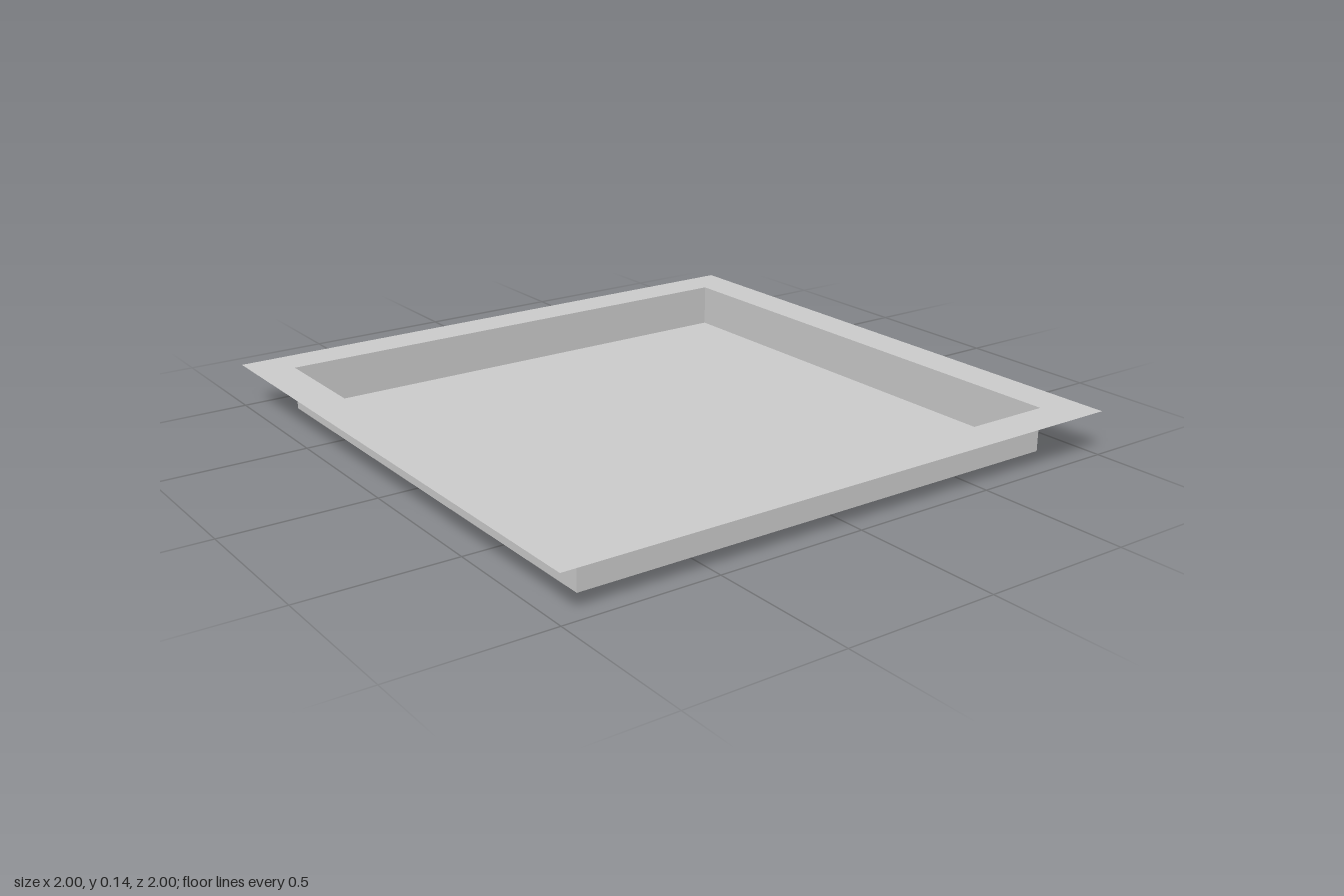
import * as THREE from 'three';

const OUTER = 1;      // half width of the rim
const INNER = 0.867;  // half width of the pan
const DEPTH = 0.145;

function square(PathType, h) {
  return new PathType([[-h, -h], [h, -h], [h, h], [-h, h]].map(([x, y]) => new THREE.Vector2(x, y)));
}

export function createModel() {
  const group = new THREE.Group();
  group.name = 'tray';
  const material = new THREE.MeshStandardMaterial({ color: 0xcccccc, side: THREE.DoubleSide, flatShading: true });

  const add = (name, geometry) => {
    const mesh = new THREE.Mesh(geometry, material);
    mesh.name = name;
    group.add(mesh);
  };

  // Flat sheet rim around the opening
  const rimShape = square(THREE.Shape, OUTER);
  rimShape.holes.push(square(THREE.Path, INNER));
  add('rim', new THREE.ShapeGeometry(rimShape).rotateX(-Math.PI / 2).translate(0, DEPTH, 0));

  // Floor of the pan
  add('floor', new THREE.PlaneGeometry(2 * INNER, 2 * INNER).rotateX(-Math.PI / 2));

  // Four upright sheet walls
  ['frontWall', 'leftWall', 'backWall', 'rightWall'].forEach((name, i) => {
    add(name, new THREE.PlaneGeometry(2 * INNER, DEPTH)
      .translate(0, DEPTH / 2, INNER)
      .rotateY(i * Math.PI / 2));
  });

  return group;
}
